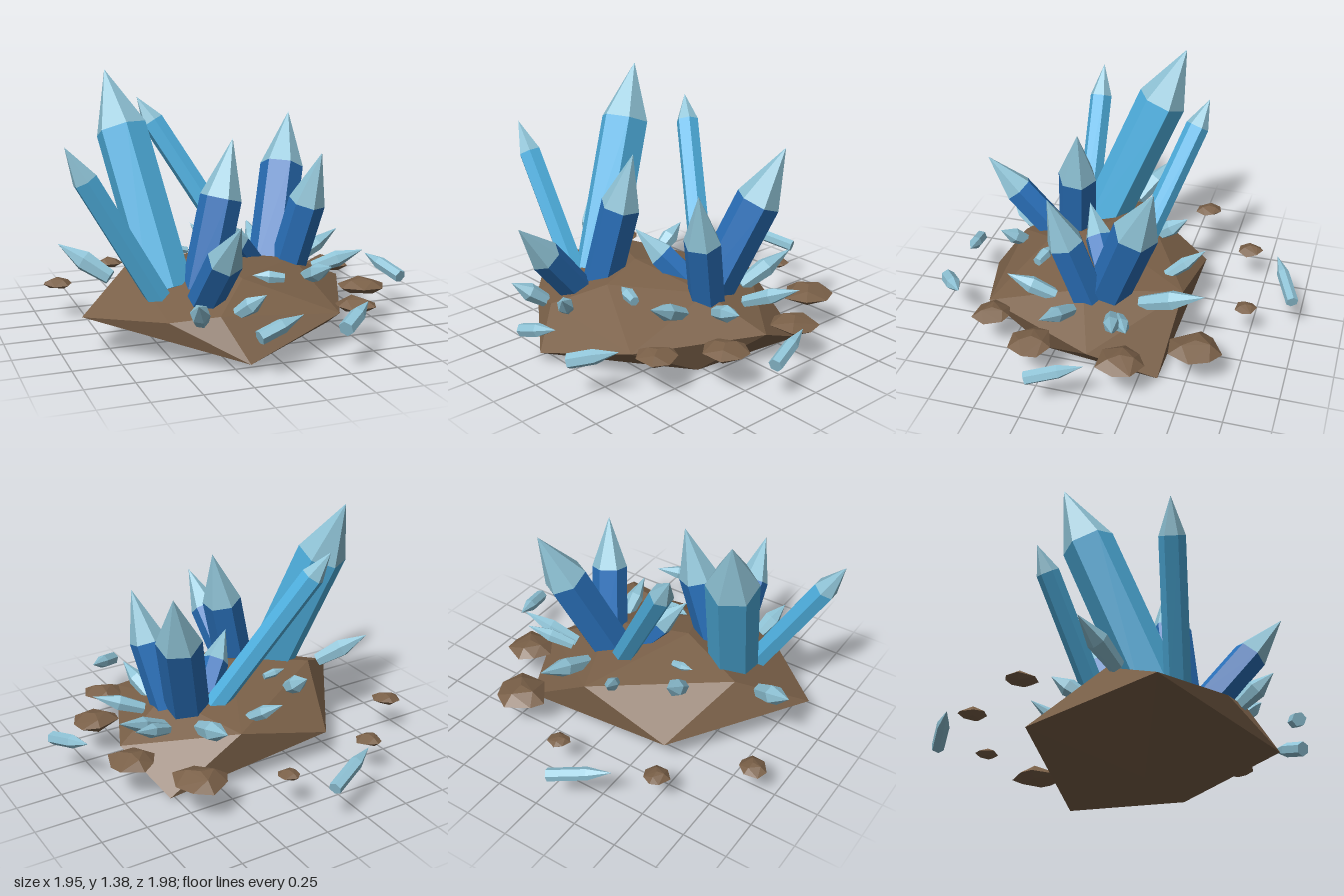
import * as THREE from 'three';
import { ConvexGeometry } from 'three/addons/geometries/ConvexGeometry.js';

const mat = (name, color) => Object.assign(new THREE.MeshStandardMaterial({ color }), { name });
const V = (p) => new THREE.Vector3(...p);

// facet the surface so every face has its own normal
function flat(geometry) {
  const g = geometry.toNonIndexed();
  g.computeVertexNormals();
  return g;
}

// six-sided crystal from base to tip: shaft, then a pointed cap
function crystal(name, base, tip, r, tipLength, shaftMat, tipMat, baseScale = 1) {
  const a = V(base), axis = V(tip).sub(a);
  const length = axis.length(), shaft = length - tipLength;
  const group = new THREE.Group();
  group.name = name;
  const body = new THREE.Mesh(
    flat(new THREE.CylinderGeometry(r, r * baseScale, shaft, 6).translate(0, shaft / 2, 0)), shaftMat);
  body.name = 'shaft';
  const point = new THREE.Mesh(
    flat(new THREE.CylinderGeometry(0, r, tipLength, 6, 1, true).translate(0, shaft + tipLength / 2, 0)), tipMat);
  point.name = 'point';
  group.add(body, point);
  group.position.copy(a);
  group.quaternion.setFromUnitVectors(new THREE.Vector3(0, 1, 0), axis.normalize());
  return group;
}

// small seeded generator for the stone shapes
function seeded(seed) {
  return () => (seed = (seed * 16807) % 2147483647) / 2147483647;
}

// flattened irregular stone
function stone(x, y, z, r, h, seed) {
  const rand = seeded(seed * 7919 + 13);
  const pts = [[0, 1, 0], [0.3, -1, 0.1]];
  for (let i = 0; i < 7; i++) {
    const t = (i + rand() * 0.5) / 7 * Math.PI * 2, k = 0.9 + rand() * 0.2;
    pts.push([Math.cos(t) * k, rand() * 0.5 - 0.25, Math.sin(t) * k]);
    if (i % 2) {
      pts.push([Math.cos(t) * 0.55, 0.8, Math.sin(t) * 0.55]);
      pts.push([Math.cos(t) * 0.6, -0.75, Math.sin(t) * 0.6]);
    }
  }
  return new ConvexGeometry(pts.map(([a, b, c]) => new THREE.Vector3(x + a * r, y + b * h, z + c * r)));
}

export function createModel() {
  const model = new THREE.Group();
  model.name = 'crystalCluster';
  const rock = mat('rock brown', 0x7a6048);
  const sky = mat('bright blue', 0x50b2e2);
  const deep = mat('deep blue', 0x2a71bb);
  const pale = mat('pale ice', 0x8fc3d6);

  // faceted base rock
  const corners = [
    [-0.9, 0.2, 0.3], [-0.41, 0.165, -0.41], [0.13, 0.3, -0.39], [0.54, 0.02, -0.355],
    [0.65, 0.19, 0], [0.45, 0.015, 0.3], [0.35, 0.19, 0.66], [-0.2, 0.045, 0.83],
    [-0.54, 0.22, 0.6], [-0.3, 0.25, 0.68], [-0.05, 0, 0.14],
    [-0.58, 0.385, 0.02], [-0.17, 0.42, 0.2], [0.32, 0.35, 0.12], [-0.1, 0.36, 0.45],
  ];
  const base = new THREE.Mesh(new ConvexGeometry(corners.map(V)), rock);
  base.name = 'baseRock';
  model.add(base);

  // loose stones around the base: x, z, radius, half height
  [
    [0.46, -0.535, 0.145, 0.05], [0.675, -0.19, 0.13, 0.045], [0.655, 0.3, 0.122, 0.045],
    [0.475, 0.59, 0.11, 0.04], [-0.52, -0.65, 0.07, 0.03], [0.05, -0.725, 0.06, 0.025],
    [-0.895, -0.32, 0.078, 0.03],
  ].forEach(([x, z, r, h], i) => {
    const m = new THREE.Mesh(stone(x, 0.205, z, r, h, i + 1), rock);
    m.name = 'looseStone';
    model.add(m);
  });

  // large crystals: base, tip, radius, point length, shaft colour
  [
    [[-0.44, 0.28, 0.25], [-0.635, 1.385, -0.2], 0.138, 0.33, sky],
    [[-0.52, 0.28, 0.36], [-0.98, 1.075, 0.385], 0.066, 0.19, sky],
    [[0.12, 0.28, -0.05], [-0.41, 1.21, -0.385], 0.064, 0.16, sky],
    [[0.22, 0.26, 0.02], [0.47, 1.1, -0.3], 0.122, 0.32, deep],
    [[0.29, 0.24, 0.08], [0.42, 0.95, 0.27], 0.1, 0.29, deep],
    [[-0.29, 0.26, 0.35], [-0.085, 1.055, 0.27], 0.11, 0.31, deep],
    [[-0.32, 0.24, 0.46], [-0.27, 0.735, 0.88], 0.09, 0.26, deep],
    [[0.1, 0.33, 0.05], [-0.14, 0.61, 0.22], 0.078, 0.2, deep],
  ].forEach(([a, b, r, t, m]) => model.add(crystal('largeCrystal', a, b, r, t, m, pale)));

  // small shards growing from the rock: base, tip, radius
  [
    [[-0.7, 0.33, 0.09], [-0.94, 0.495, -0.06], 0.055],
    [[-0.39, 0.23, 0.65], [-0.46, 0.36, 0.82], 0.05],
    [[-0.2, 0.24, 0.64], [-0.09, 0.36, 0.755], 0.045],
    [[0.13, 0.34, 0.45], [-0.03, 0.36, 0.41], 0.036],
    [[0.32, 0.28, 0.28], [0.36, 0.4, 0.54], 0.048],
    [[0.43, 0.29, 0.15], [0.69, 0.39, 0.24], 0.045],
    [[0.42, 0.28, -0.07], [0.725, 0.42, -0.16], 0.045],
    [[0.42, 0.28, -0.11], [0.66, 0.38, -0.215], 0.04],
    [[0.26, 0.28, -0.19], [0.305, 0.42, -0.545], 0.055],
    [[0.01, 0.3, -0.26], [-0.08, 0.45, -0.465], 0.038],
    [[-0.34, 0.33, -0.12], [-0.35, 0.46, -0.3], 0.05],
    [[-0.23, 0.4, -0.05], [-0.36, 0.42, -0.06], 0.024],
  ].forEach(([a, b, r]) => {
    const length = V(a).distanceTo(V(b));
    model.add(crystal('smallShard', a, b, r, length * 0.5, pale, pale, 0.75));
  });

  // loose shards lying around the base: blunt end, tip, radius
  [
    [[-0.06, 0.215, -0.965], [-0.37, 0.29, -0.83], 0.035],
    [[0.935, 0.21, 0.235], [0.855, 0.285, 0.05 - 0.1], 0.037],
    [[0.235, 0.215, 0.96], [0.437, 0.285, 0.8], 0.04],
    [[-0.2, 0.215, 0.935], [0.045, 0.29, 0.895], 0.037],
  ].forEach(([a, b, r]) => model.add(crystal('looseShard', a, b, r, 0.13, pale, pale)));

  return model;
}
